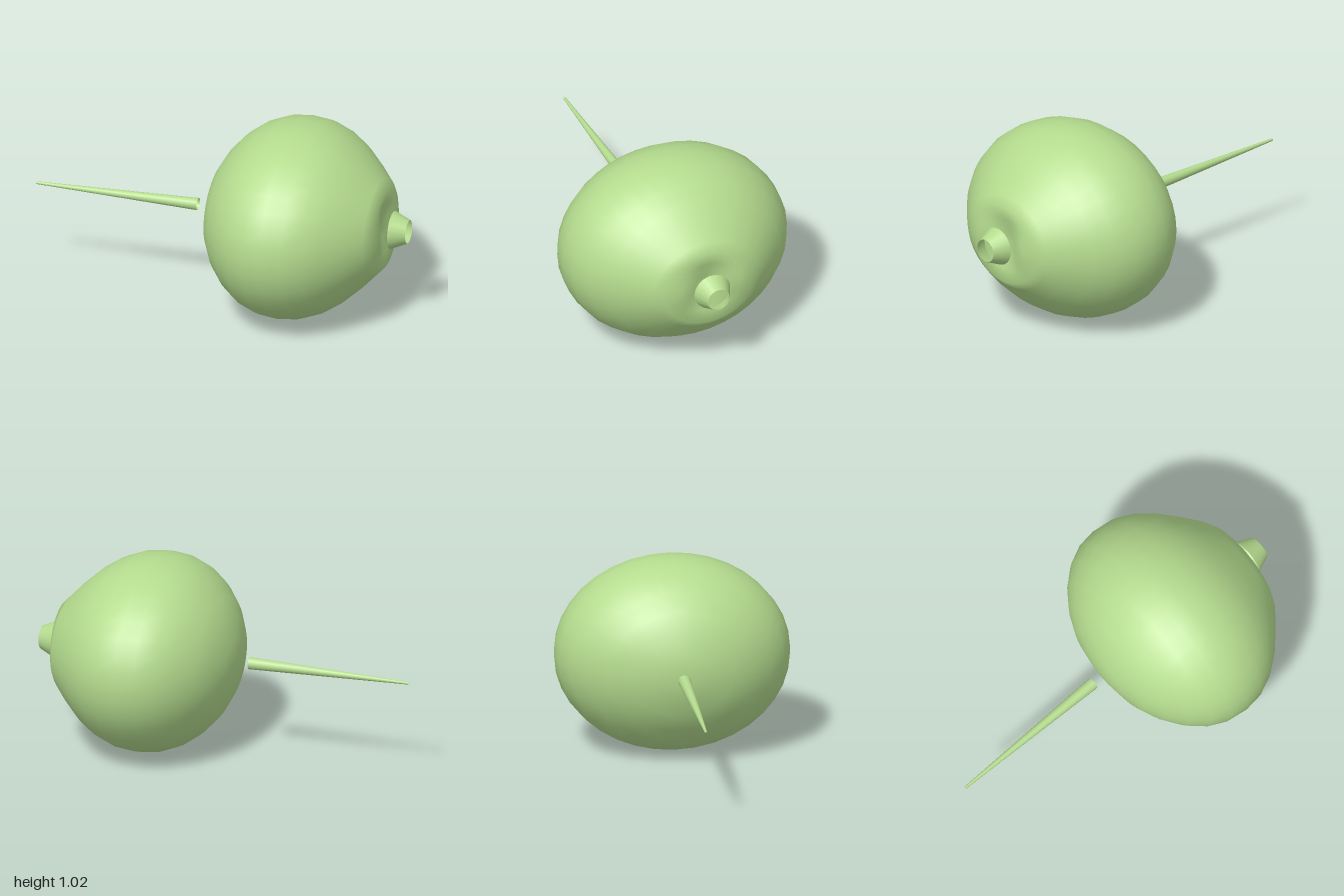
import * as THREE from 'three';
import { mergeVertices } from 'three/addons/utils/BufferGeometryUtils.js';

const CENTER_Y = 0.513;
const HEIGHT_RATIO = 0.835; // the bulb is flatter in y than in z

// [radius, x along the side, x along the top and bottom]
const PROFILE = [
  [0, -0.06, -0.06], [0.07, -0.058, -0.058], [0.14, -0.049, -0.049], [0.27, -0.018, -0.018],
  [0.38, 0.035, 0.035], [0.48, 0.11, 0.11], [0.553, 0.195, 0.195], [0.597, 0.29, 0.29],
  [0.61, 0.39, 0.39], [0.597, 0.495, 0.495], [0.552, 0.595, 0.595], [0.482, 0.685, 0.685],
  [0.39, 0.77, 0.77], [0.3, 0.845, 0.84], [0.25, 0.868, 0.88], [0.167, 0.898, 0.866],
  [0.08, 0.865, 0.85], [0, 0.845, 0.845],
];

// Bulb turned around the x axis, its front dimple deeper toward top and bottom
function bulbGeometry() {
  const segments = 36;
  const lathe = new THREE.LatheGeometry(PROFILE.map(([r, x]) => new THREE.Vector2(r, x)), segments);
  lathe.rotateZ(-Math.PI / 2);
  const pos = lathe.attributes.position;
  for (let i = 0; i < pos.count; i++) {
    const [r, side, upright] = PROFILE[i % PROFILE.length];
    const y = pos.getY(i);
    const blend = r > 0 ? (y / r) ** 2 : 0;
    pos.setXYZ(i, side + (upright - side) * blend, y * HEIGHT_RATIO, pos.getZ(i));
  }
  lathe.deleteAttribute('uv');
  lathe.deleteAttribute('normal');
  const geometry = mergeVertices(lathe, 1e-4);
  geometry.computeVertexNormals();
  return geometry;
}

// Open tapered tube along x
function taperedTube(x0, r0, x1, r1, sides) {
  const geometry = new THREE.CylinderGeometry(r1, r0, x1 - x0, sides, 1, true);
  geometry.rotateZ(-Math.PI / 2);
  geometry.translate((x0 + x1) / 2, 0, 0);
  return geometry;
}

export function createModel() {
  const model = new THREE.Group();
  const green = new THREE.MeshStandardMaterial({ color: 0xb4db8e, side: THREE.DoubleSide });
  green.name = 'light green';

  const add = (name, geometry) => {
    const mesh = new THREE.Mesh(geometry, green);
    mesh.name = name;
    mesh.position.y = CENTER_Y;
    model.add(mesh);
  };

  add('bulb', bulbGeometry());
  add('tailSpike', taperedTube(-1, 0.007, -0.13, 0.032, 18));
  add('nozzle', taperedTube(0.915, 0.1, 1, 0.061, 18));
  return model;
}
